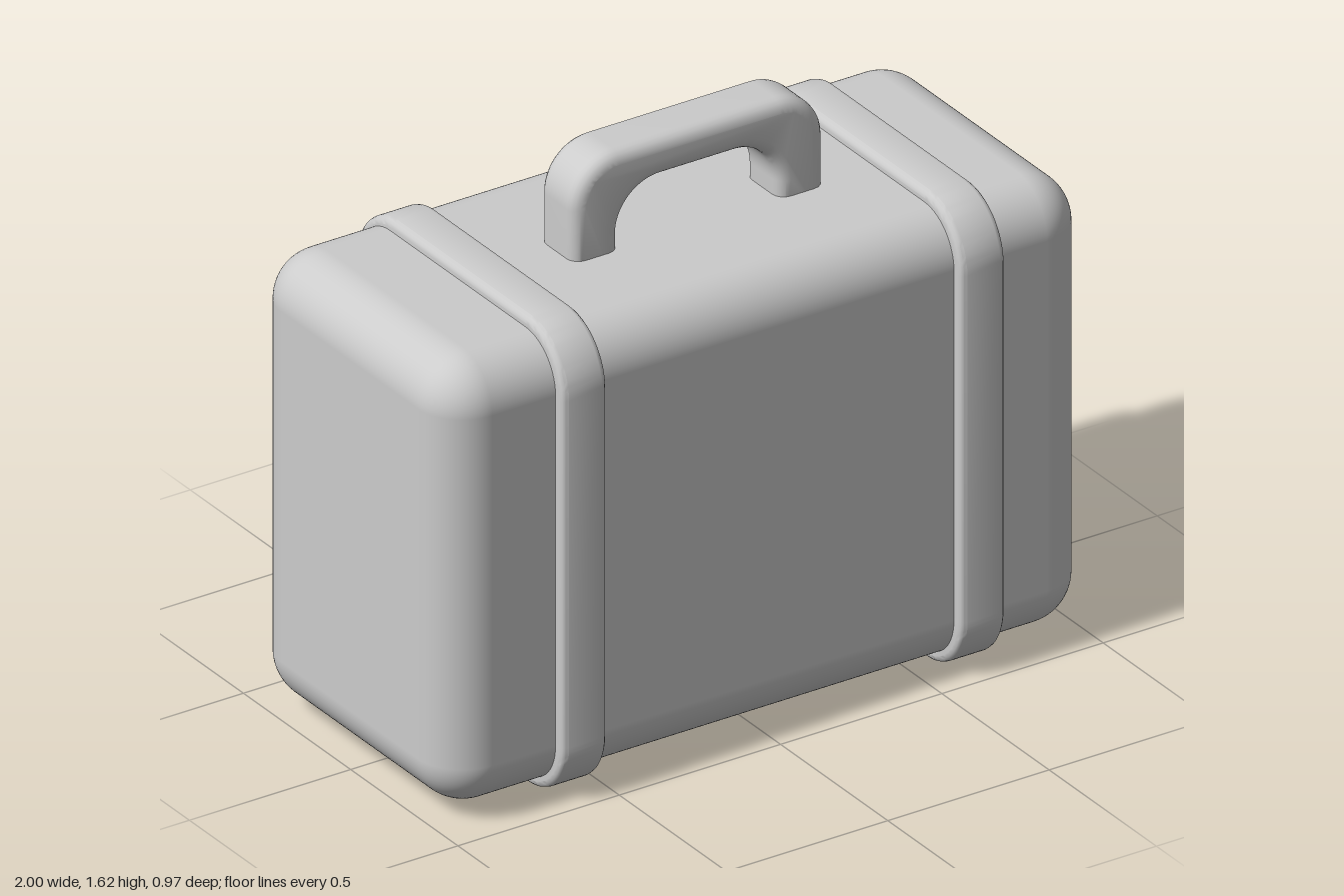
import * as THREE from 'three';
import { RoundedBoxGeometry } from 'three/addons/geometries/RoundedBoxGeometry.js';
import { toCreasedNormals } from 'three/addons/utils/BufferGeometryUtils.js';

const material = new THREE.MeshStandardMaterial({ color: 0xcccccc });

// Rounded rectangle centred on the origin
function roundedRect(path, w, h, r) {
  const x = w / 2, y = h / 2;
  path.moveTo(x, -y + r);
  path.lineTo(x, y - r);
  path.absarc(x - r, y - r, r, 0, Math.PI / 2);
  path.lineTo(-x + r, y);
  path.absarc(-x + r, y - r, r, Math.PI / 2, Math.PI);
  path.lineTo(-x, -y + r);
  path.absarc(-x + r, -y + r, r, Math.PI, Math.PI * 1.5);
  path.lineTo(x - r, -y);
  path.absarc(x - r, -y + r, r, Math.PI * 1.5, Math.PI * 2);
  return path;
}

// Extrusion with softened edges, total thickness as given, centred in depth
function softExtrude(shape, thickness, bevel, segments) {
  const geometry = new THREE.ExtrudeGeometry(shape, {
    depth: thickness - 2 * bevel,
    bevelThickness: bevel,
    bevelSize: bevel,
    bevelOffset: -bevel,
    bevelSegments: segments,
    curveSegments: 10,
  });
  geometry.translate(0, 0, bevel - thickness / 2);
  return toCreasedNormals(geometry, 0.75);
}

function addPart(group, name, geometry, x, y, z) {
  const mesh = new THREE.Mesh(geometry, material);
  mesh.name = name;
  mesh.position.set(x, y, z);
  group.add(mesh);
}

export function createModel() {
  const group = new THREE.Group();
  group.name = 'suitcase';

  // Case body
  addPart(group, 'body', new RoundedBoxGeometry(2, 1.305, 0.912, 8, 0.14), 0, 0.683, -0.006);

  // Two straps wrapped around the body
  const strapShape = roundedRect(new THREE.Shape(), 0.972, 1.365, 0.175);
  strapShape.holes.push(roundedRect(new THREE.Path(), 0.84, 1.23, 0.13));
  const strap = softExtrude(strapShape, 0.138, 0.018, 3).rotateY(Math.PI / 2);
  addPart(group, 'rightStrap', strap, -0.595, 0.6825, 0);
  addPart(group, 'leftStrap', strap, 0.64, 0.6825, 0);

  // Arched carrying handle, its feet sunk into the body
  const foot = 1.25, top = 1.62, outer = 0.39, inner = 0.247;
  const arch = new THREE.Shape();
  arch.moveTo(outer, foot);
  arch.lineTo(outer, top - 0.14);
  arch.absarc(outer - 0.14, top - 0.14, 0.14, 0, Math.PI / 2);
  arch.lineTo(-outer + 0.14, top);
  arch.absarc(-outer + 0.14, top - 0.14, 0.14, Math.PI / 2, Math.PI);
  arch.lineTo(-outer, foot);
  arch.lineTo(-inner, foot);
  arch.lineTo(-inner, 1.38);
  arch.absarc(-inner + 0.13, 1.38, 0.13, Math.PI, Math.PI / 2, true);
  arch.lineTo(inner - 0.13, 1.51);
  arch.absarc(inner - 0.13, 1.38, 0.13, Math.PI / 2, 0, true);
  arch.lineTo(inner, foot);
  addPart(group, 'handle', softExtrude(arch, 0.165, 0.035, 4), 0.02, 0, 0.012);

  return group;
}
